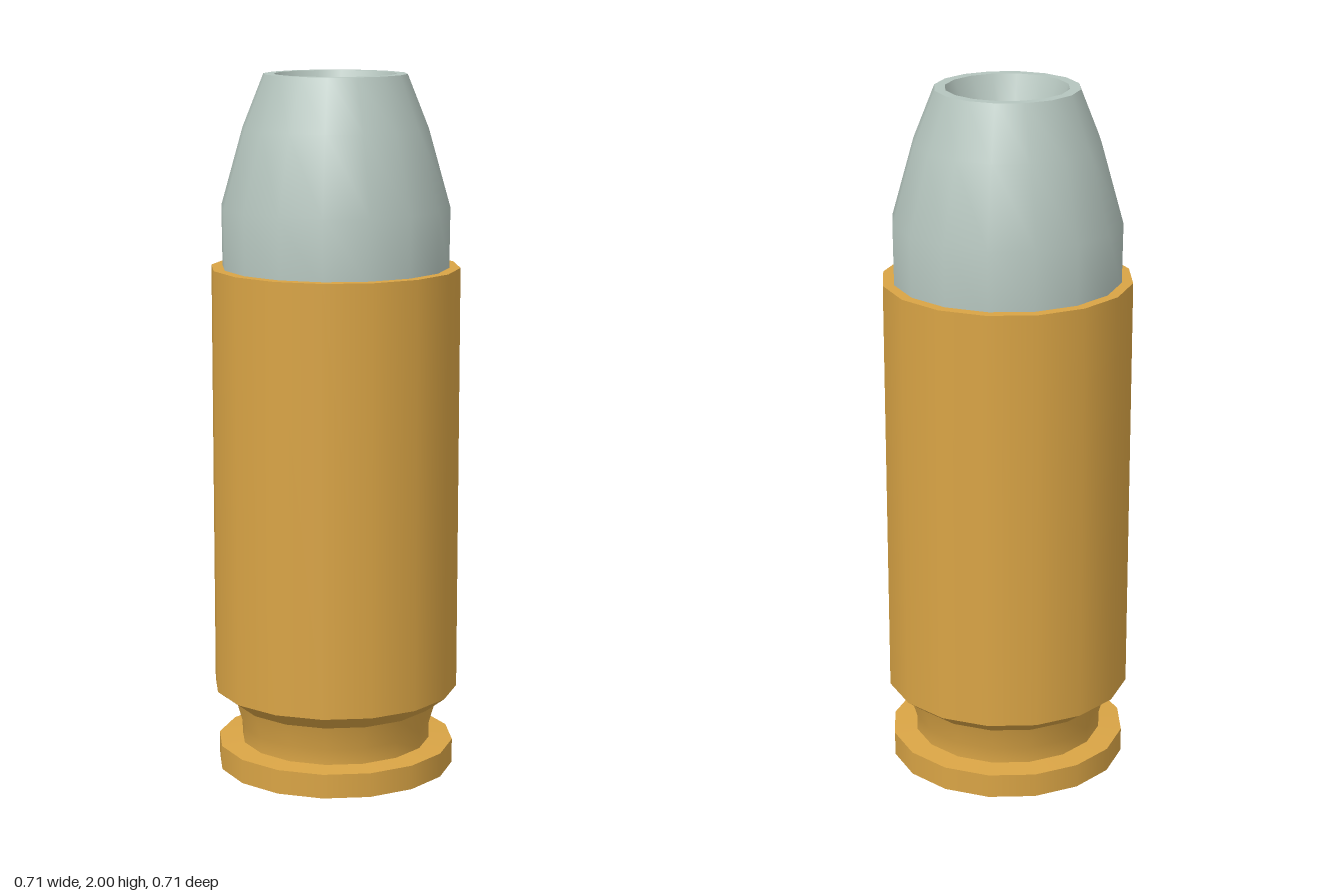
import * as THREE from 'three';
import { mergeGeometries } from 'three/addons/utils/BufferGeometryUtils.js';

const SIDES = 16;

// Each section is a list of [radius, height]; smooth within, creased between sections.
function turned(name, color, sections) {
  const parts = sections.map(s =>
    new THREE.LatheGeometry(s.map(([r, y]) => new THREE.Vector2(r, y)), SIDES));
  const mesh = new THREE.Mesh(mergeGeometries(parts), new THREE.MeshStandardMaterial({ color }));
  mesh.name = name;
  return mesh;
}

export function createModel() {
  const group = new THREE.Group();
  group.name = 'cartridge';

  // Brass casing: rim, extractor groove, chamfer, straight wall and mouth
  group.add(turned('casing', 0xd9a445, [
    [[0, 0], [0.343, 0]],
    [[0.343, 0], [0.343, 0.07]],
    [[0.343, 0.07], [0.275, 0.075]],
    [[0.275, 0.075], [0.275, 0.12], [0.295, 0.19]],
    [[0.295, 0.19], [0.354, 0.235]],
    [[0.354, 0.235], [0.354, 1.46]],
    [[0.354, 1.46], [0.318, 1.46]],
  ]));

  // Bullet: tapered nose with a flat lip and a hollow point
  group.add(turned('bullet', 0xb5c5be, [
    [[0.322, 1.44], [0.324, 1.63], [0.262, 1.85], [0.202, 2]],
    [[0.202, 2], [0.172, 2]],
    [[0.172, 2], [0.104, 1.8]],
    [[0.104, 1.8], [0, 1.8]],
  ]));

  return group;
}
